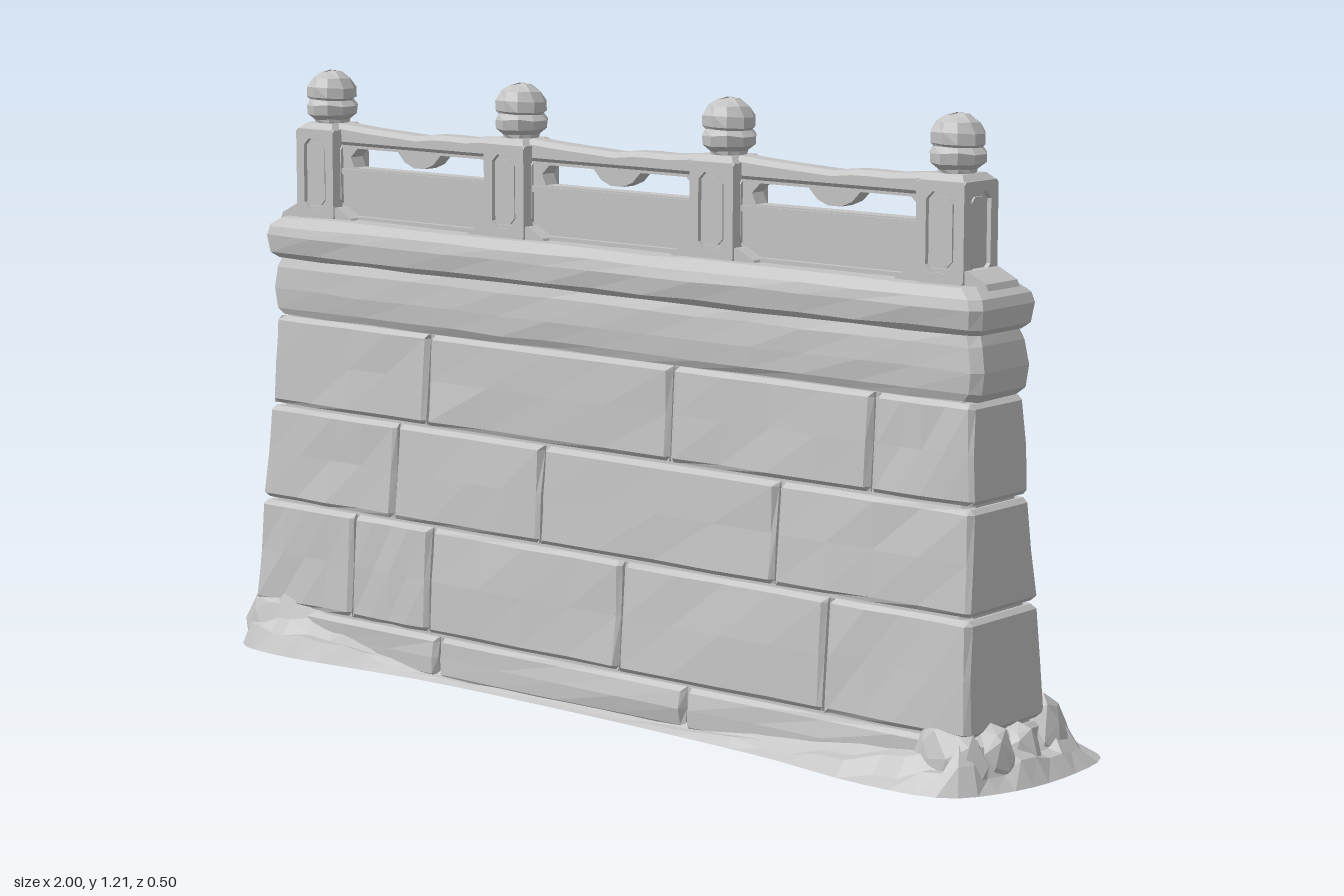
import * as THREE from 'three';

const stone = new THREE.MeshStandardMaterial({ color: 0xc4c4c4, flatShading: true, side: THREE.DoubleSide });
stone.name = 'grey stone';

// repeatable noise from a position, -1..1
const noise = (x, y, z) => {
  const s = Math.sin(Math.round(x * 997) * 12.9898 + Math.round(y * 997) * 78.233 + Math.round(z * 997) * 37.719) * 43758.5453;
  return 2 * (s - Math.floor(s)) - 1;
};
function add(parent, name, geo, x = 0, y = 0, z = 0) {
  const m = new THREE.Mesh(geo, stone);
  m.name = name;
  m.position.set(x, y, z);
  parent.add(m);
  return m;
}
// box whose grid corners (i, j, k) are placed by a rule
function formed(nx, ny, nz, rule) {
  const g = new THREE.BoxGeometry(1, 1, 1, nx, ny, nz), p = g.attributes.position;
  for (let n = 0; n < p.count; n++) {
    const i = Math.round((p.getX(n) + 0.5) * nx), j = Math.round((p.getY(n) + 0.5) * ny), k = Math.round((p.getZ(n) + 0.5) * nz);
    p.setXYZ(n, ...rule(i, j, k));
  }
  g.computeVertexNormals();
  return g;
}
function rough(g, amt) {
  const p = g.attributes.position;
  for (let n = 0; n < p.count; n++) {
    const x = p.getX(n), y = p.getY(n), z = p.getZ(n);
    p.setXYZ(n, x + amt * noise(x, y, z), y + amt * noise(y, z, x), z + amt * noise(z, x, y));
  }
  return g;
}
const poly = pts => new THREE.Shape(pts.map(p => new THREE.Vector2(...p)));
const slab = (shape, depth) => new THREE.ExtrudeGeometry(shape, { depth, bevelEnabled: false });

// wall section by height: y, half length, back z, front z
const SECTION = [[0, 0.925, -0.09, 0.165], [0.12, 0.92, -0.085, 0.162], [0.31, 0.91, -0.073, 0.147], [0.51, 0.9, -0.057, 0.13], [0.7, 0.89, -0.047, 0.119]];
function section(y) {
  let n = 0;
  while (n < SECTION.length - 2 && y > SECTION[n + 1][0]) n++;
  const a = SECTION[n], b = SECTION[n + 1], t = (y - a[0]) / (b[0] - a[0]);
  return a.map((v, i) => v + (b[i] - v) * t);
}
// long beam with chamfered corners through rows of [y, half length, back z, front z]
const beam = (rows, nx, wear) => formed(nx, rows.length - 1, 1, (i, j, k) => {
  const [y, hx, zb, zf] = rows[j], end = i === 0 || i === nx, c = 0.018;
  const x = end ? (i ? hx : -hx) : -hx + c + (2 * hx - 2 * c) * (i - 1) / (nx - 2);
  const z = k ? zf - (end ? c : 0) : zb + (end ? c : 0);
  return [x, y + wear * noise(x, j, k), z + wear * noise(j, k, x)];
});
// one dressed stone, from the wall's middle to its front or back face
function block(y0, y1, x0, x1, side) {
  const b = 0.009, gap = 0.003, N = 6;
  return formed(N, 4, 1, (i, j, k) => {
    const h = y1 - y0, y = [y0 + gap, y0 + b + gap, y0 + h * 0.5, y1 - b - gap, y1 - gap][j];
    const [, hx, zb, zf] = section(y), edgeY = j === 0 || j === 4, edgeX = i === 0 || i === N;
    const end = hx - (edgeY ? b : 0);
    const a = x0 === null ? -end : x0 + gap, c = x1 === null ? end : x1 - gap;
    const x = i === 0 ? a : i === N ? c : a + b + (c - a - 2 * b) * (i - 1) / (N - 2);
    const atFace = (k === 1) === (side > 0), cut = edgeX || edgeY ? b : 0;
    const wear = 0.004 * noise(x, y, side);
    return [x, y, atFace ? (side > 0 ? zf - cut + wear : zb + cut + wear) : 0.04];
  });
}

function makeWall(root) {
  const wall = new THREE.Group();
  wall.name = 'wall';
  root.add(wall);
  add(wall, 'wallCore', beam(SECTION.map(([y, x, b, f]) => [y, x - 0.014, b + 0.014, f - 0.014]), 4, 0));
  const levels = [0, 0.09, 0.31, 0.51, 0.7];
  const joints = {
    1: [[-0.39, 0.26], [-0.64, -0.42, 0.09, 0.59], [-0.53, -0.13, 0.46], [-0.45, 0.19, 0.67]],
    '-1': [[-0.2, 0.4], [-0.38, 0.14, 0.66], [-0.64, -0.4, -0.03, 0.48], [-0.42, 0.42, 0.68]],
  };
  for (const side of [1, -1]) joints[side].forEach((row, r) => {
    const xs = [null, ...row, null];
    for (let i = 0; i < xs.length - 1; i++) add(wall, 'wallStone', block(levels[r], levels[r + 1], xs[i], xs[i + 1], side));
  });
  add(wall, 'cornice', beam([[0.7, 0.886, -0.043, 0.114], [0.715, 0.9, -0.051, 0.121], [0.755, 0.906, -0.053, 0.123], [0.8, 0.897, -0.049, 0.12], [0.825, 0.888, -0.042, 0.112]], 16, 0.002));
  add(wall, 'coping', beam([[0.82, 0.893, -0.046, 0.118], [0.832, 0.907, -0.056, 0.133], [0.868, 0.912, -0.06, 0.138], [0.888, 0.905, -0.056, 0.133], [0.907, 0.88, -0.04, 0.117]], 16, 0.002));
}

// square post with a framed panel on each side, and a bud finial
function makePost() {
  const post = new THREE.Group();
  post.name = 'post';
  add(post, 'postCore', new THREE.BoxGeometry(0.088, 0.19, 0.088), 0, 0.995, 0);
  const panel = (w, h, c) => [[-w, -h + c], [-w + c, -h], [w - c, -h], [w, -h + c], [w, h - c], [w - c, h], [-w + c, h], [-w, h - c]];
  const frame = poly(panel(0.053, 0.093, 0.006));
  frame.holes.push(new THREE.Path(panel(0.031, 0.073, 0.014).map(p => new THREE.Vector2(...p))));
  for (let s = 0; s < 4; s++) {
    const face = new THREE.Group();
    face.name = 'postFace';
    face.position.y = 0.998;
    face.rotation.y = s * Math.PI / 2;
    add(face, 'postFrame', slab(frame, 0.011), 0, 0, 0.042);
    add(face, 'postPanel', slab(poly(panel(0.024, 0.064, 0.012)), 0.006), 0, 0, 0.042);
    post.add(face);
  }
  const cap = add(post, 'postCap', new THREE.CylinderGeometry(0.052, 0.072, 0.014, 4), 0, 1.096, 0);
  cap.rotation.y = Math.PI / 4;
  const bud = [[0.034, 0], [0.036, 0.012], [0.052, 0.024], [0.054, 0.042], [0.045, 0.052], [0.052, 0.058], [0.05, 0.078], [0.04, 0.097], [0.02, 0.109], [0.001, 0.112]];
  add(post, 'finial', rough(new THREE.LatheGeometry(bud.map(p => new THREE.Vector2(...p)), 10), 0.0025), 0, 1.098, 0);
  add(post, 'postFoot', slab(poly([[-0.105, 0.9], [0.105, 0.9], [0.1, 0.912], [0.06, 0.932], [-0.06, 0.932], [-0.1, 0.912]]), 0.098), 0, 0, -0.049);
  return post;
}

// panel, pierced band and worn handrail between two posts
function makeBay() {
  const bay = new THREE.Group();
  bay.name = 'railingBay';
  const w = 0.225;
  const web = poly([[-w, 0.9], [w, 0.9], [w, 1.08], [-w, 1.08]]);
  web.holes.push(new THREE.Path([[-0.185, 1.014], [0.185, 1.014], [0.195, 1.035], [0.175, 1.054], [0.06, 1.054], [0.04, 1.034], [0.015, 1.024], [-0.015, 1.024], [-0.04, 1.034], [-0.06, 1.054], [-0.175, 1.054], [-0.195, 1.035]].map(p => new THREE.Vector2(...p))));
  add(bay, 'railingPanel', slab(web, 0.034), 0, 0, -0.017);
  add(bay, 'panelLip', new THREE.BoxGeometry(2 * w, 0.012, 0.044), 0, 1.005, 0);
  add(bay, 'panelSill', new THREE.BoxGeometry(2 * w, 0.02, 0.06), 0, 0.905, 0);
  add(bay, 'handrail', formed(10, 3, 1, (i, j, k) => {
    const t = i / 5 - 1, top = 1.092 + 0.009 * t * t + 0.003 * noise(i, 3, 1);
    return [t * w, [1.06, 1.067, top - 0.01, top][j], (k ? 1 : -1) * [0.02, 0.027, 0.027, 0.017][j]];
  }));
  return bay;
}

// carved beast-head water spout on the back
function makeSpout() {
  const spout = new THREE.Group();
  spout.name = 'waterSpout';
  const side = (name, pts, wide, x = 0) => {
    const m = add(spout, name, slab(poly(pts), wide), x + wide / 2, 0, 0);
    m.rotation.y = -Math.PI / 2; // profile x becomes z
    return m;
  };
  add(spout, 'spoutPlate', new THREE.BoxGeometry(0.12, 0.12, 0.022), 0, 0.72, -0.045);
  // head cross-sections: z, half width, bottom, top
  const cuts = [[-0.157, 0.022, 0.725, 0.757], [-0.14, 0.032, 0.725, 0.765], [-0.12, 0.028, 0.728, 0.757], [-0.098, 0.038, 0.725, 0.775], [-0.078, 0.044, 0.71, 0.79], [-0.045, 0.035, 0.705, 0.785]];
  add(spout, 'spoutHead', formed(3, 2, 5, (i, j, k) => {
    const [z, w, b, t] = cuts[k];
    return [w * (i / 1.5 - 1) * (j === 1 ? 1 : 0.75), b + (t - b) * j / 2, z];
  }));
  side('lowerJaw', [[-0.045, 0.725], [-0.045, 0.7], [-0.1, 0.69], [-0.132, 0.7], [-0.13, 0.71], [-0.1, 0.712]], 0.046);
  for (const s of [-1, 1]) {
    side('brow', [[-0.06, 0.775], [-0.105, 0.77], [-0.1, 0.79], [-0.082, 0.8], [-0.078, 0.82], [-0.065, 0.8]], 0.018, s * 0.022);
    add(spout, 'eye', new THREE.IcosahedronGeometry(0.011, 0), s * 0.034, 0.766, -0.098);
    const ear = add(spout, 'ear', new THREE.ConeGeometry(0.014, 0.05, 5), s * 0.042, 0.785, -0.062);
    ear.rotation.set(0.4, 0, -s * 0.5);
    add(spout, 'fang', new THREE.ConeGeometry(0.006, 0.024, 4), s * 0.022, 0.72, -0.138).rotation.x = Math.PI;
  }
  const drip = [[0.001, 0], [0.006, 0.025], [0.009, 0.06], [0.015, 0.09], [0.012, 0.12]];
  add(spout, 'drip', rough(new THREE.LatheGeometry(drip.map(p => new THREE.Vector2(...p)), 6), 0.002), 0, 0.585, -0.122);
  return spout;
}

// sloping rubble apron around the foot, with boulders
function makeRocks(root) {
  const rocks = new THREE.Group();
  rocks.name = 'rockBase';
  root.add(rocks);
  // outline: x, z, height against the wall
  const outline = [[-0.98, 0.1, 0.1], [-0.92, 0.2, 0.11], [-0.8, 0.222, 0.13], [-0.6, 0.205, 0.08], [-0.4, 0.185, 0.03], [0, 0.185, 0.015], [0.26, 0.195, 0.02], [0.5, 0.21, 0.055], [0.75, 0.243, 0.08], [0.92, 0.22, 0.11], [0.985, 0.1, 0.1],
    [1, -0.05, 0.09], [0.97, -0.2, 0.1], [0.88, -0.24, 0.12], [0.65, -0.222, 0.11], [0.4, -0.185, 0.1], [0.1, -0.145, 0.07], [-0.15, -0.18, 0.08], [-0.4, -0.225, 0.1], [-0.55, -0.205, 0.11], [-0.75, -0.23, 0.12], [-0.93, -0.248, 0.12], [-0.985, -0.18, 0.1], [-1, -0.03, 0.09]];
  const loop = new THREE.CatmullRomCurve3(outline.map(([x, z, h]) => new THREE.Vector3(x, h, z)), true);
  const N = 84, R = 4, pos = [], idx = [];
  for (let n = 0; n < N; n++) {
    const p = loop.getPoint(n / N);
    const ix = THREE.MathUtils.clamp(p.x, -0.885, 0.885), iz = THREE.MathUtils.clamp(p.z, -0.06, 0.135);
    for (let r = 0; r <= R; r++) {
      const t = r / R, bump = 0.25 * Math.sin(Math.PI * t) * noise(Math.floor(n / 2), r, 5);
      pos.push(p.x + (ix - p.x) * t, p.y * (Math.pow(t, 0.8) + bump), p.z + (iz - p.z) * t);
      if (r < R) {
        const a = n * (R + 1) + r, b = ((n + 1) % N) * (R + 1) + r;
        idx.push(a, b, b + 1, a, b + 1, a + 1);
      }
    }
  }
  const apron = new THREE.BufferGeometry();
  apron.setAttribute('position', new THREE.Float32BufferAttribute(pos, 3));
  apron.setIndex(idx);
  apron.computeVertexNormals();
  add(rocks, 'rockApron', apron);
  const boulder = (x, y, z, sx, sy, sz) => {
    const g = rough(new THREE.IcosahedronGeometry(1, 1), 0.14);
    g.rotateY(x * 9 + z * 5);
    g.scale(sx, sy, sz);
    const p = g.attributes.position;
    for (let n = 0; n < p.count; n++) p.setY(n, Math.max(p.getY(n), -y));
    add(rocks, 'boulder', g, x, y, z);
  };
  for (let i = 0; i < 15; i++) {
    const x = -0.86 + i * 0.123, far = Math.abs(x);
    boulder(x, 0.03, -0.105 - 0.05 * far + 0.012 * noise(i, 1, 2), 0.085, 0.05 + 0.03 * far + 0.012 * noise(i, 4, 2), 0.04 + 0.02 * far);
  }
  for (const s of [-1, 1]) {
    boulder(s * 0.9, 0.03, -0.11, 0.055, 0.1, 0.06);
    boulder(s * 0.92, 0.03, 0.0, 0.045, 0.07, 0.05);
    boulder(s * 0.92, 0.04, 0.09, 0.045, 0.075, 0.045);
    boulder(s * 0.87, 0.03, 0.15, 0.08, 0.085, 0.04);
  }
}

export function createModel() {
  const root = new THREE.Group();
  root.name = 'balustradeWall';
  makeWall(root);
  for (let i = 0; i < 4; i++) {
    const post = makePost();
    post.position.set(-0.795 + i * 0.53, 0, 0.04);
    root.add(post);
    if (i === 3) break;
    const bay = makeBay();
    bay.position.set(-0.53 + i * 0.53, 0, 0.04);
    root.add(bay);
  }
  root.add(makeSpout());
  makeRocks(root);
  return root;
}
